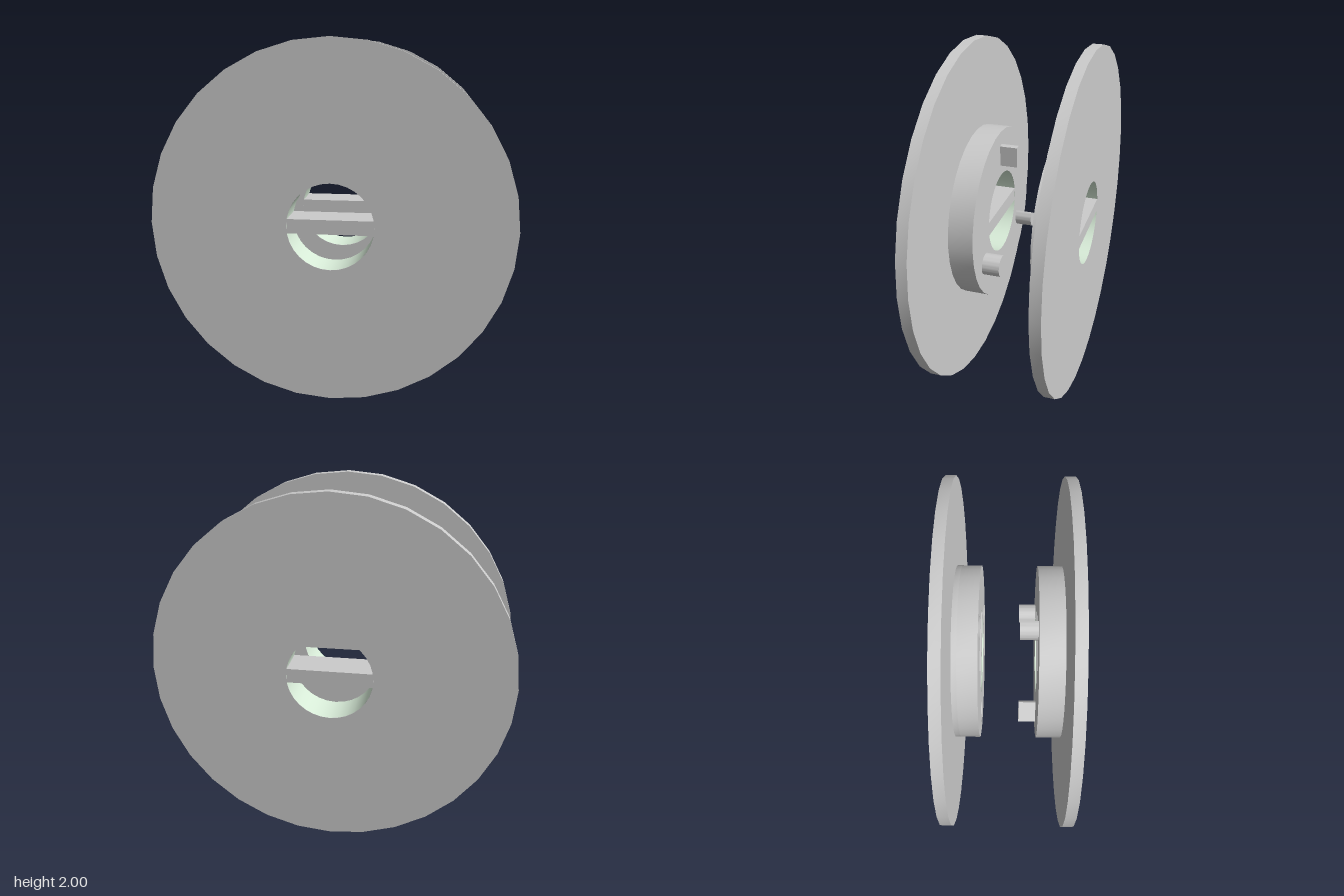
import * as THREE from 'three';
import { toCreasedNormals } from 'three/addons/utils/BufferGeometryUtils.js';

const BORE = 0.24, PEG_R = 0.062, PEG_ORBIT = 0.36;
const grey = new THREE.MeshStandardMaterial({ color: 0xcccccc });
const paleGreen = new THREE.MeshStandardMaterial({ color: 0xd8ecd8, side: THREE.BackSide });

function circle(Type, r, x = 0, y = 0) {
  const c = new Type();
  c.absarc(x, y, r, 0, Math.PI * 2, false);
  return c;
}

function add(parent, name, geometry, material = grey) {
  const mesh = new THREE.Mesh(geometry, material);
  mesh.name = name;
  parent.add(mesh);
  return mesh;
}

// Extrude a shape between two z positions, keeping rims sharp
function slab(shape, z0, z1) {
  const g = new THREE.ExtrudeGeometry(shape, { depth: z1 - z0, bevelEnabled: false, curveSegments: 16 });
  g.translate(0, 0, z0);
  return toCreasedNormals(g, 0.6);
}

function ring(radius, z0, z1, sockets = []) {
  const s = circle(THREE.Shape, radius);
  s.holes.push(circle(THREE.Path, BORE));
  for (const [x, y] of sockets) s.holes.push(circle(THREE.Path, PEG_R + 0.003, x, y));
  return slab(s, z0, z1);
}

// One half of the spool, inner face towards -z
function spoolHalf(name, sockets) {
  const half = new THREE.Group();
  half.name = name;
  add(half, 'flange', ring(1, 0.3, 0.36));
  if (sockets) {
    add(half, 'hubBase', ring(0.5, 0.27, 0.3));
    add(half, 'socketHub', ring(0.5, 0.16, 0.27, sockets));
  } else {
    add(half, 'hub', ring(0.5, 0.16, 0.3));
  }
  // Bore wall seen from inside
  const wall = new THREE.CylinderGeometry(BORE - 0.001, BORE - 0.001, 0.2, 32, 1, true);
  wall.rotateX(Math.PI / 2).translate(0, 0, 0.26);
  add(half, 'boreWall', wall, paleGreen);
  // Crossbar through the bore
  add(half, 'crossbar', new THREE.BoxGeometry(0.475, 0.08, 0.2).translate(0, 0, 0.26));
  return half;
}

export function createModel() {
  const model = new THREE.Group();
  model.name = 'spool';
  const angles = [0, 1, 2].map(i => i * Math.PI * 2 / 3);
  const centres = angles.map(a => [-Math.sin(a) * PEG_ORBIT, Math.cos(a) * PEG_ORBIT]);

  // Front half with three D-section pegs
  const front = spoolHalf('frontHalf');
  const cut = Math.acos(0.02 / PEG_R);
  const dShape = new THREE.Shape();
  dShape.absarc(0, 0, PEG_R, cut, Math.PI * 2 - cut, false);
  dShape.closePath();
  angles.forEach((a, i) => {
    const peg = add(front, 'peg' + (i + 1), slab(dShape, 0.06, 0.16));
    peg.position.set(centres[i][0], centres[i][1], 0);
    peg.rotation.z = a;
  });

  // Back half with matching sockets, turned to face the pegs
  const back = spoolHalf('backHalf', centres.map(([x, y]) => [-x, y]));
  back.rotation.y = Math.PI;

  model.add(front, back);
  model.children.forEach(h => { h.position.y = 1; });
  return model;
}
